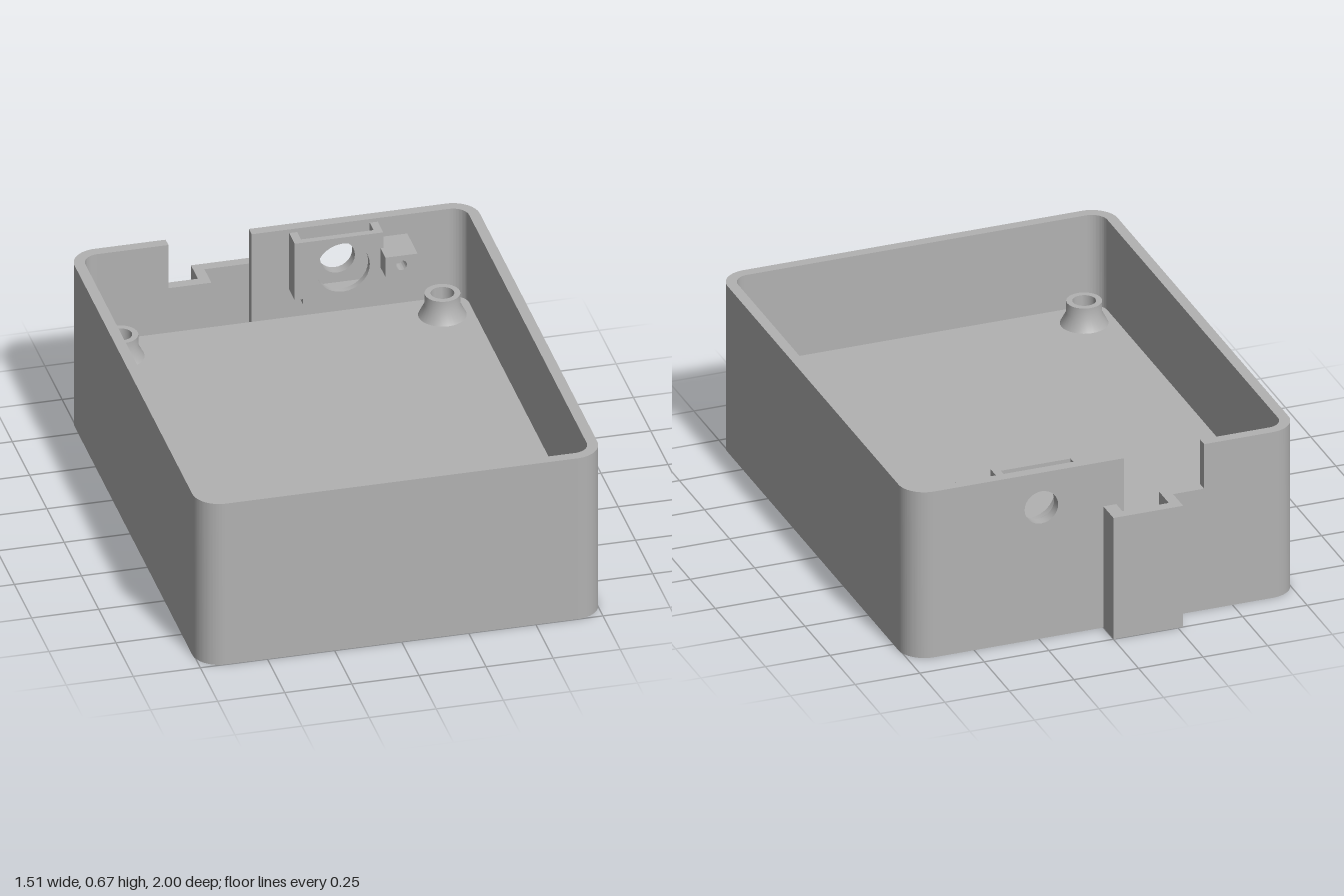
import * as THREE from 'three';
import { toCreasedNormals } from 'three/addons/utils/BufferGeometryUtils.js';

const H = 0.67;            // wall height
const FLOOR = [0.265, 0.305]; // underside and top of the floor plate
const LEDGE = 0.49;        // height of the cable channel and notch

export function createModel() {
  const model = new THREE.Group();
  const grey = new THREE.MeshStandardMaterial({ color: 0xb2b2b2 });
  grey.name = 'grey plastic';

  const add = (name, geometry) => {
    const mesh = new THREE.Mesh(toCreasedNormals(geometry, 0.6), grey);
    mesh.name = name;
    model.add(mesh);
    return mesh;
  };
  // Box given by its limits on each axis
  const block = (name, [x0, x1], [y0, y1], [z0, z1]) => {
    const g = new THREE.BoxGeometry(x1 - x0, y1 - y0, z1 - z0);
    return add(name, g.translate((x0 + x1) / 2, (y0 + y1) / 2, (z0 + z1) / 2));
  };
  const polygon = (points) => new THREE.Shape(points.map(([x, y]) => new THREE.Vector2(x, y)));
  const extrude = (shape, depth) =>
    new THREE.ExtrudeGeometry(shape, { depth, bevelEnabled: false, curveSegments: 14 });
  // Plan shapes use (x, -z) and rise along y
  const rise = (shape, height) => extrude(shape, height).rotateX(-Math.PI / 2);
  const punch = (shape, x, y, r) => {
    shape.holes.push(new THREE.Path().absarc(x, y, r, 0, Math.PI * 2, true));
    return shape;
  };

  // Front wall, side walls and the four rounded corners
  const P = Math.PI, cx = 0.655, zb = 0.8, zf = -0.9, R = 0.1, r = 0.06;
  const u = new THREE.Shape();
  u.moveTo(-cx, 0.9);
  u.absarc(-cx, zb, R, P / 2, P, false);
  u.absarc(-cx, zf, R, P, 1.5 * P, false);
  u.absarc(cx, zf, R, 1.5 * P, 2 * P, false);
  u.absarc(cx, zb, R, 0, P / 2, false);
  u.absarc(cx, zb, r, P / 2, 0, true);
  u.absarc(cx, zf, r, 0, -P / 2, true);
  u.absarc(-cx, zf, r, 1.5 * P, P, true);
  u.absarc(-cx, zb, r, P, P / 2, true);
  u.closePath();
  add('frontAndSideWalls', rise(u, H));

  // Back wall either side of the cable opening, with a stepped notch and a round port
  const backRight = polygon([[-cx, 0], [-0.23, 0], [-0.23, LEDGE], [-0.39, LEDGE], [-0.39, H], [-cx, H]]);
  add('backWallNotched', extrude(backRight, 0.04).translate(0, 0, -0.9));
  const backLeft = punch(polygon([[-0.08, 0], [cx, 0], [cx, H], [-0.08, H]]), 0.24, 0.53, 0.065);
  add('backWallWithPort', extrude(backLeft, 0.04).translate(0, 0, -0.9));

  // Cable channel standing out from the back
  const channel = polygon([[-0.27, 0.9], [-0.27, 1], [0, 1], [0, 0.9],
    [-0.05, 0.9], [-0.05, 0.96], [-0.23, 0.96], [-0.23, 0.9]]);
  add('cableChannel', rise(channel, LEDGE));

  // Raised floor plate
  block('floor', [-0.72, 0.72], FLOOR, [-0.86, 0.965]);

  // Screw posts: flared standoffs above, hollow legs below, each leg ribbed to the wall
  const lathe = (points) =>
    new THREE.LatheGeometry(points.map(([x, y]) => new THREE.Vector2(x, y)), 32);
  const [under, top] = FLOOR;
  for (const x of [-0.6, 0.6]) {
    for (const z of [-0.74, 0.835]) {
      add('standoff', lathe([[0.088, top], [0.065, top + 0.045], [0.065, top + 0.09],
        [0.043, top + 0.09], [0.043, top + 0.002], [0, top + 0.002]])).position.set(x, 0, z);
      add('postLeg', lathe([[0, under - 0.002], [0.04, under - 0.002], [0.04, 0],
        [0.073, 0], [0.073, under]])).position.set(x, 0, z);
      const s = Math.sign(x);
      block('postRib', [Math.min(s * 0.665, s * 0.72), Math.max(s * 0.665, s * 0.72)],
        [0.02, under], [z - 0.02, z + 0.02]);
    }
  }

  // Holder inside the back wall around the round port
  const plate = punch(polygon([[0.06, 0.42], [0.39, 0.42], [0.39, 0.655], [0.06, 0.655]]), 0.24, 0.53, 0.1);
  add('holderPlate', extrude(plate, 0.025).translate(0, 0, -0.805));
  for (const [a, b] of [[0.06, 0.09], [0.36, 0.39]]) {
    block('holderCheek', [a, b], [0.42, 0.655], [-0.86, -0.805]);
  }
  block('holderBase', [0.09, 0.36], [0.4, 0.425], [-0.86, -0.78]);

  // Side lug with a small blind hole in its face
  const lug = punch(polygon([[0.38, 0.51], [0.5, 0.51], [0.5, 0.59], [0.38, 0.59]]), 0.44, 0.55, 0.02);
  add('lugFace', extrude(lug, 0.05).translate(0, 0, -0.76));
  block('lugBody', [0.38, 0.5], [0.51, 0.59], [-0.86, -0.76]);

  return model;
}
